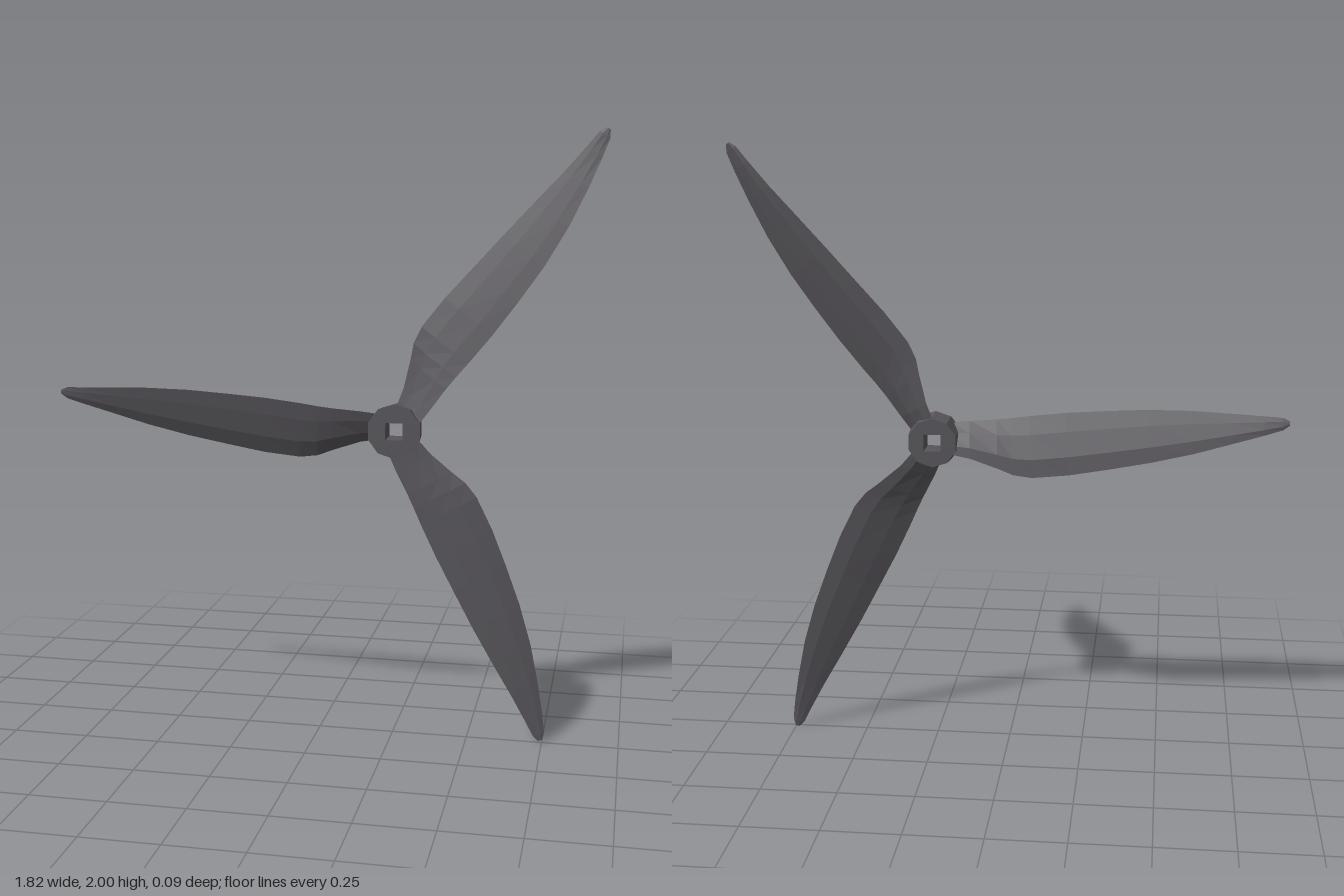
import * as THREE from 'three';

const material = new THREE.MeshStandardMaterial({ color: 0x57555a, flatShading: true });
const HUB_X = 0.253, HUB_Y = 1.03;

// Blade stations: [radius, trailing edge, leading edge, trailing z, leading z, thickness]
const STATIONS = [
  [0.05, -0.05, 0.042, 0.030, -0.030, 0.026],
  [0.12, -0.053, 0.06, 0.032, -0.034, 0.026],
  [0.21, -0.053, 0.098, 0.033, -0.036, 0.024],
  [0.26, -0.055, 0.122, 0.033, -0.037, 0.022],
  [0.32, -0.059, 0.134, 0.032, -0.037, 0.022],
  [0.44, -0.064, 0.131, 0.031, -0.036, 0.021],
  [0.57, -0.064, 0.118, 0.029, -0.035, 0.019],
  [0.71, -0.062, 0.102, 0.025, -0.033, 0.017],
  [0.85, -0.053, 0.080, 0.018, -0.030, 0.014],
  [0.98, -0.039, 0.053, 0.008, -0.025, 0.011],
  [1.08, -0.028, 0.032, -0.002, -0.020, 0.009],
  [1.14, -0.021, 0.018, -0.008, -0.016, 0.007],
  [1.162, -0.010, 0.004, -0.011, -0.014, 0.004],
];
// Airfoil loop: [position along the chord, thickness offset]
const AIRFOIL = [[0, 0], [0.3, -0.35], [0.7, -0.5], [1, 0], [0.7, 0.5], [0.3, 0.35]];

// Twisted blade along +x; bow bends the middle of the blade sideways
function bladeGeometry(bow) {
  const pos = [], index = [], n = AIRFOIL.length, last = (STATIONS.length - 1) * n;
  for (const [r, t0, t1, z0, z1, thick] of STATIONS) {
    const u = r / 1.162, shift = bow * 6.75 * u * u * (1 - u);
    for (const [c, h] of AIRFOIL) {
      pos.push(r, t0 + (t1 - t0) * c + shift, z0 + (z1 - z0) * c + h * thick);
    }
  }
  for (let a = 0; a < last; a += n) {
    for (let j = 0; j < n; j++) {
      const k = (j + 1) % n;
      index.push(a + j, a + k, a + n + k, a + j, a + n + k, a + n + j);
    }
  }
  // Root and tip caps
  for (let j = 1; j < n - 1; j++) {
    index.push(0, j + 1, j, last, last + j, last + j + 1);
  }
  const g = new THREE.BufferGeometry();
  g.setAttribute('position', new THREE.Float32BufferAttribute(pos, 3));
  g.setIndex(index);
  g.computeVertexNormals();
  return g;
}

// Faceted hub with a square shaft hole
function hubGeometry() {
  const shape = new THREE.Shape();
  const sides = 10, radius = 0.082;
  for (let i = 0; i < sides; i++) {
    const a = ((i + 0.5) / sides) * Math.PI * 2;
    shape[i ? 'lineTo' : 'moveTo'](Math.cos(a) * radius, Math.sin(a) * radius);
  }
  shape.closePath();
  const h = 0.028;
  shape.holes.push(new THREE.Path([
    new THREE.Vector2(-h, -h), new THREE.Vector2(-h, h),
    new THREE.Vector2(h, h), new THREE.Vector2(h, -h),
  ]));
  const g = new THREE.ExtrudeGeometry(shape, { depth: 0.086, bevelEnabled: false });
  // Widen the middle of the outer wall slightly towards the front
  const p = g.attributes.position;
  for (let i = 0; i < p.count; i++) {
    const r = Math.hypot(p.getX(i), p.getY(i));
    if (r > 0.06 && p.getZ(i) > 0.05) {
      p.setXY(i, p.getX(i) * 1.09, p.getY(i) * 1.09);
    }
  }
  g.translate(0, 0, -0.04);
  g.computeVertexNormals();
  return g;
}

export function createModel() {
  const group = new THREE.Group();
  group.name = 'propeller';

  const hub = new THREE.Mesh(hubGeometry(), material);
  hub.name = 'hub';
  hub.position.set(HUB_X, HUB_Y, 0);
  group.add(hub);

  // Three blades: [name, angle in degrees, sideways bow]
  const blades = [['upperBlade', 56, -0.026], ['sideBlade', 175.8, 0], ['lowerBlade', -64.4, 0.02]];
  for (const [name, angle, bow] of blades) {
    const blade = new THREE.Mesh(bladeGeometry(bow), material);
    blade.name = name;
    blade.position.set(HUB_X, HUB_Y, 0);
    blade.rotation.z = THREE.MathUtils.degToRad(angle);
    if (name === 'lowerBlade') blade.scale.x = 0.985;
    group.add(blade);
  }
  return group;
}
